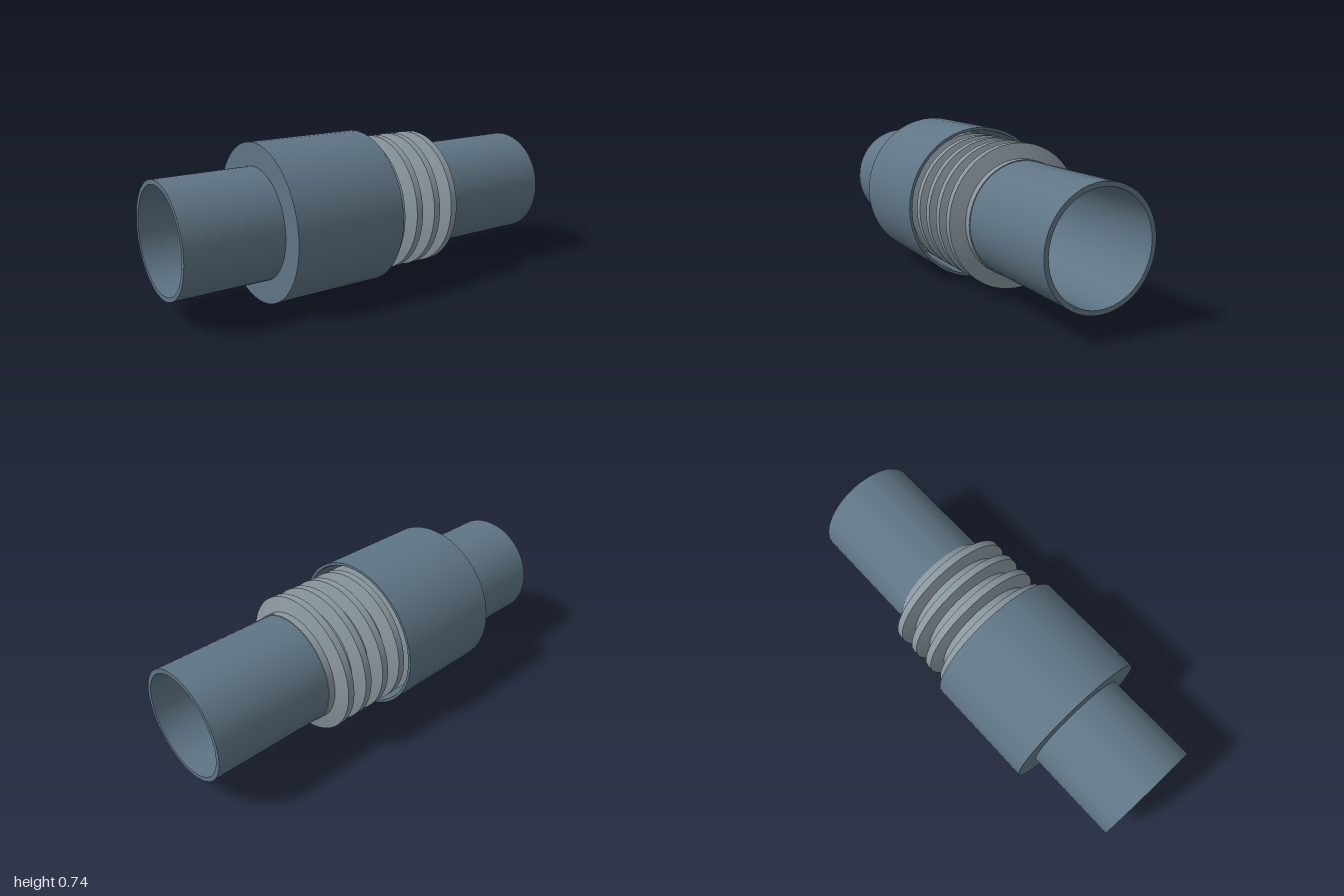
import * as THREE from 'three';
import { toCreasedNormals } from 'three/addons/utils/BufferGeometryUtils.js';

const CENTRE_Y = 0.369;
const SIDES = 48;

const steel = new THREE.MeshStandardMaterial({ color: 0x5f7585 });
const bellowsMetal = new THREE.MeshStandardMaterial({ color: 0x8a969e, side: THREE.DoubleSide });

// Revolves [x, radius] points around the x axis, keeping profile corners sharp
function revolve(name, profile, material) {
  const points = profile.map(([x, r]) => new THREE.Vector2(r, x));
  const geometry = new THREE.LatheGeometry(points, SIDES);
  geometry.rotateZ(-Math.PI / 2);
  const mesh = new THREE.Mesh(toCreasedNormals(geometry, 0.3), material);
  mesh.name = name;
  mesh.position.y = CENTRE_Y;
  return mesh;
}

// Corrugated sleeve: end cuffs with evenly spaced flat-topped ribs between
function bellowsProfile() {
  const pipe = 0.261, root = 0.265, peak = 0.333;
  const pitch = 0.105, last = 0.348, count = 8;
  const profile = [[-0.46, pipe], [-0.46, root]];
  for (let i = count - 1; i >= 0; i--) {
    const x = last - i * pitch;
    profile.push([x - 0.036, root], [x - 0.017, peak], [x + 0.017, peak], [x + 0.036, root]);
  }
  profile.push([0.418, root], [0.418, pipe]);
  return profile;
}

export function createModel() {
  const group = new THREE.Group();
  group.name = 'expansionJoint';

  // Hollow pipe running the full length
  const outer = 0.261, inner = 0.24;
  group.add(revolve('pipe', [
    [-1, inner], [-1, outer], [1, outer], [1, inner], [-1, inner],
  ], steel));

  group.add(revolve('bellows', bellowsProfile(), bellowsMetal));

  // Cover shell, closed by a plate on the left and open over the bellows
  group.add(revolve('cover', [
    [-0.54, outer], [-0.54, 0.369], [0.012, 0.369], [0.012, 0.356],
    [-0.518, 0.356], [-0.518, outer],
  ], steel));

  return group;
}
